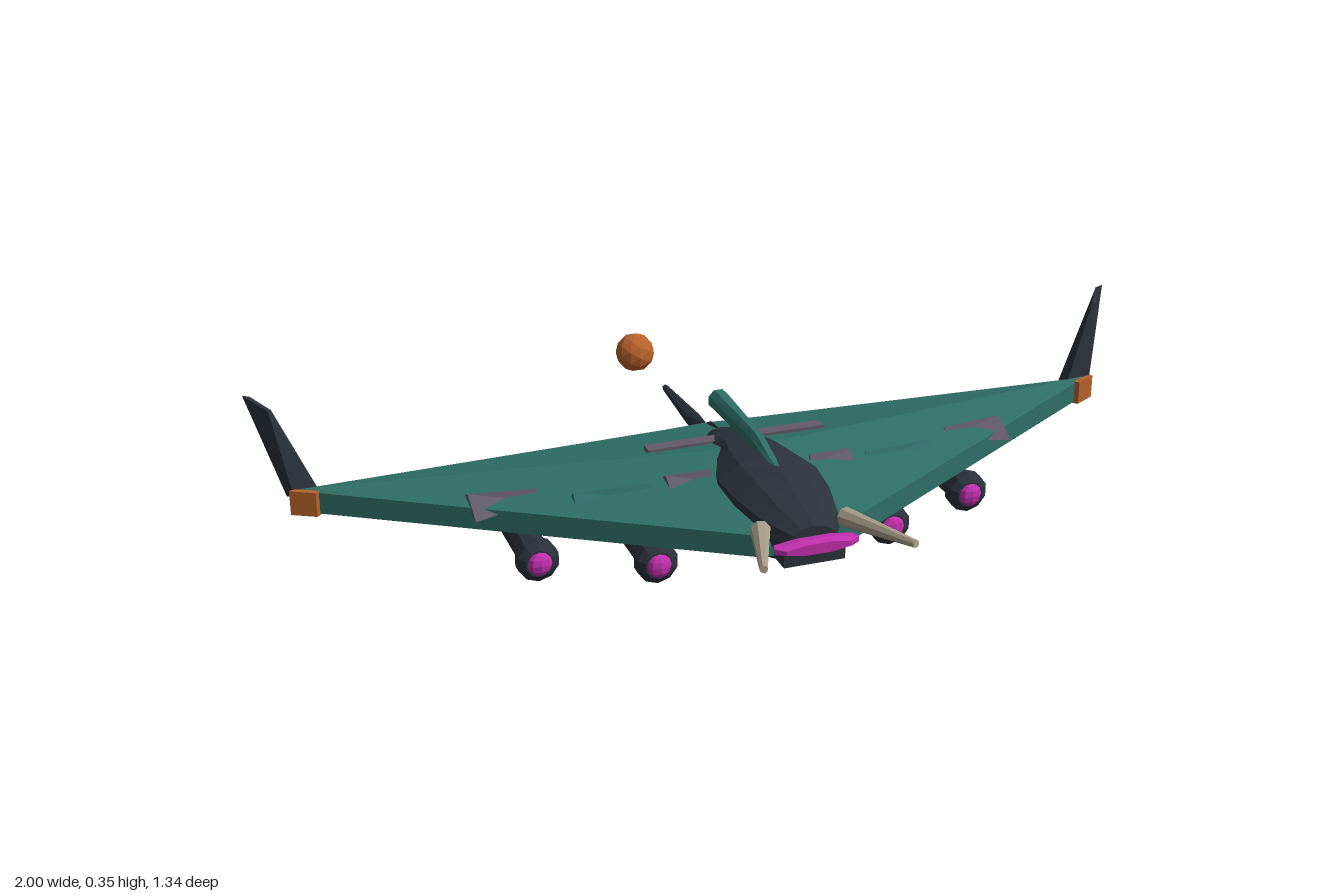
import * as THREE from 'three';

const mat = (name, color) => {
  const m = new THREE.MeshStandardMaterial({ color, flatShading: true });
  m.name = name;
  return m;
};

// Skin a row of closed cross-sections, cap both ends, face the result outward
function loft(rings) {
  const tris = [];
  const n = rings[0].length;
  for (let i = 0; i < rings.length - 1; i++) {
    for (let j = 0; j < n; j++) {
      const k = (j + 1) % n;
      const a = rings[i][j], b = rings[i][k], c = rings[i + 1][k], d = rings[i + 1][j];
      tris.push([a, b, c], [a, c, d]);
    }
  }
  const first = rings[0], last = rings[rings.length - 1];
  for (let j = 1; j < n - 1; j++) {
    tris.push([first[0], first[j + 1], first[j]], [last[0], last[j], last[j + 1]]);
  }
  let volume = 0;
  const v = (p) => new THREE.Vector3(...p);
  for (const [a, b, c] of tris) volume += v(a).dot(v(b).cross(v(c)));
  const out = tris.flatMap(([a, b, c]) => (volume < 0 ? [a, c, b] : [a, b, c]));
  const g = new THREE.BufferGeometry();
  g.setAttribute('position', new THREE.Float32BufferAttribute(out.flat(), 3));
  g.computeVertexNormals();
  return g;
}

// Elliptical section across z: centre height y, half sizes rx and ry
const oval = ([z, y, rx, ry], sides = 10, turn = 0) =>
  Array.from({ length: sides }, (_, i) => {
    const a = turn + (i / sides) * Math.PI * 2;
    return [Math.cos(a) * rx, y + Math.sin(a) * ry, z];
  });

export function createModel() {
  const group = new THREE.Group();
  group.name = 'flyingWing';
  const teal = mat('teal', 0x2f6f67);
  const dark = mat('charcoal', 0x2b323a);
  const orange = mat('orange', 0xb8622c);
  const magenta = mat('magenta', 0xc22fae);
  const bone = mat('bone', 0xa89d88);
  const mauve = mat('mauve', 0x625a68);

  const add = (name, geometry, material, x = 0, y = 0, z = 0) => {
    const m = new THREE.Mesh(geometry, material);
    m.name = name;
    m.position.set(x, y, z);
    group.add(m);
    return m;
  };

  // Wing: [x, lead z, ridge z, trail z, ridge y, trail top, trail bottom, belly y]
  const half = [
    [0.91, -0.03, -0.035, -0.04, 0.17, 0.165, 0.12, 0.12],
    [0.1, 0.48, 0.15, -0.092, 0.21, 0.16, 0.107, 0.1],
    [0, 0.5, 0.15, -0.1, 0.213, 0.16, 0.105, 0.1],
  ];
  const section = ([x, l, r, t, ry, tt, tb, by], s) => [
    [s * x, 0.12, l], [s * x, 0.167, l], [s * x, ry, r],
    [s * x, tt, t], [s * x, tb, t], [s * x, by, r],
  ];
  add('wing', loft([
    ...half.map((h) => section(h, -1)),
    ...half.slice(0, 2).reverse().map((h) => section(h, 1)),
  ]), teal);

  // Hull, belly keel and nose
  add('hull', loft([
    [0.53, 0.165, 0.05, 0.03], [0.46, 0.155, 0.09, 0.063], [0.37, 0.15, 0.115, 0.087],
    [0.28, 0.153, 0.124, 0.09], [0.19, 0.155, 0.105, 0.082], [0.13, 0.157, 0.08, 0.072],
    [0.06, 0.16, 0.08, 0.052], [0.0, 0.165, 0.04, 0.025],
  ].map((s) => oval(s, 12))), dark);
  add('keel', loft([
    [0.53, 0.12, 0.03], [0.435, 0.065, 0.06], [0.265, 0.002, 0.04],
    [0.165, 0.03, 0.035], [0.02, 0.072, 0.008],
  ].map(([z, y, w]) => [[0, y, z], [w, Math.max(y + 0.03, 0.075), z], [-w, Math.max(y + 0.03, 0.075), z]])), dark);
  add('nose', new THREE.BoxGeometry(0.13, 0.035, 0.09), dark, 0, 0.135, 0.495);
  add('visor', loft([
    [0.53, 0.162, 0.09, 0.012], [0.55, 0.162, 0.097, 0.016], [0.565, 0.162, 0.075, 0.012],
  ].map((s) => oval(s, 8, Math.PI / 8))), magenta);

  // Dorsal boom
  add('dorsalBoom', loft([
    [0.35, 0.232, 0.006, 0.004], [0.3, 0.235, 0.012, 0.012], [0.22, 0.247, 0.016, 0.024],
    [0.1, 0.247, 0.02, 0.025], [-0.02, 0.247, 0.024, 0.025], [-0.03, 0.247, 0.018, 0.02],
  ].map((s) => oval(s, 8, Math.PI / 8))), teal);

  // Tail spike and the floating orb behind it
  add('tailSpike', loft([
    [0.0, 0.17, 0.004, 0.012], [-0.07, 0.145, 0.006, 0.03], [-0.1, 0.133, 0.01, 0.026],
    [-0.19, 0.132, 0.017, 0.02], [-0.39, 0.132, 0.007, 0.008],
  ].map((s) => oval(s, 6, Math.PI / 2))), dark);
  add('orb', new THREE.IcosahedronGeometry(0.048, 1), orange, 0, 0.135, -0.625);

  // Bar across the rear deck
  add('deckBar', new THREE.BoxGeometry(0.4, 0.02, 0.03), mauve, 0, 0.196, 0.085);

  const engine = new THREE.LatheGeometry([
    [0, 0], [0.03, 0], [0.045, 0.012], [0.045, 0.036], [0.034, 0.05], [0.034, 0.2], [0, 0.2],
  ].map((p) => new THREE.Vector2(...p)), 10).rotateX(-Math.PI / 2);
  const glow = new THREE.SphereGeometry(0.026, 8, 6).scale(1, 1, 0.6);
  const horn = new THREE.CylinderGeometry(0.008, 0.021, 1, 8);

  // Low wedge on the wing: wide end at xo, narrow end at xi, sunk into the skin
  const wedge = (s, xo, xi, z0, z1, zi, yo, yi, h) => loft([
    [[s * xo, yo - 0.02, z0], [s * xo, yo + h, (z0 + z1) / 2], [s * xo, yo - 0.02, z1]],
    [[s * xi, yi - 0.02, zi - 0.012], [s * xi, yi + 0.004, zi], [s * xi, yi - 0.02, zi + 0.012]],
  ]);

  for (const s of [-1, 1]) {
    const side = s > 0 ? 'left' : 'right';

    // Underslung engines
    for (const [place, x, z] of [['Inner', 0.258, 0.345], ['Outer', 0.483, 0.255]]) {
      add(side + place + 'Engine', engine, dark, s * x, 0.062, z);
      add(side + place + 'EngineGlow', glow, magenta, s * x, 0.062, z);
    }

    // Horns
    const from = new THREE.Vector3(s * 0.09, 0.175, 0.475);
    const to = new THREE.Vector3(s * 0.157, 0.194, 0.668);
    const dir = to.clone().sub(from);
    const h = add(side + 'Horn', horn, bone);
    h.position.copy(from).add(to).multiplyScalar(0.5);
    h.scale.y = dir.length();
    h.quaternion.setFromUnitVectors(new THREE.Vector3(0, 1, 0), dir.normalize());

    // Swept winglets
    add(side + 'Winglet', loft([
      [[s * 0.875, 0.14, -0.085], [s * 0.87, 0.155, -0.035], [s * 0.925, 0.155, -0.03], [s * 0.935, 0.14, -0.075]],
      [[s * 0.985, 0.35, -0.13], [s * 0.95, 0.335, -0.08], [s * 0.957, 0.335, -0.077], [s * 1.0, 0.355, -0.127]],
    ]), dark);

    // Orange wingtip caps
    add(side + 'TipCap', loft([0.117, 0.171].map((y) => [
      [s * 0.875, y, -0.012], [s * 0.885, y, -0.002], [s * 0.935, y, -0.03], [s * 0.925, y, -0.037],
    ])), orange);

    // Raised armour on the wing top
    add(side + 'OuterArmour', wedge(s, 0.6, 0.46, 0.075, 0.21, 0.16, 0.175, 0.182, 0.012), mauve);
    add(side + 'InnerArmour', wedge(s, 0.205, 0.11, 0.18, 0.28, 0.24, 0.195, 0.205, 0.01), mauve);
    add(side + 'WingRidge', wedge(s, 0.4, 0.24, 0.19, 0.25, 0.235, 0.182, 0.19, 0.01), teal);
  }
  return group;
}
